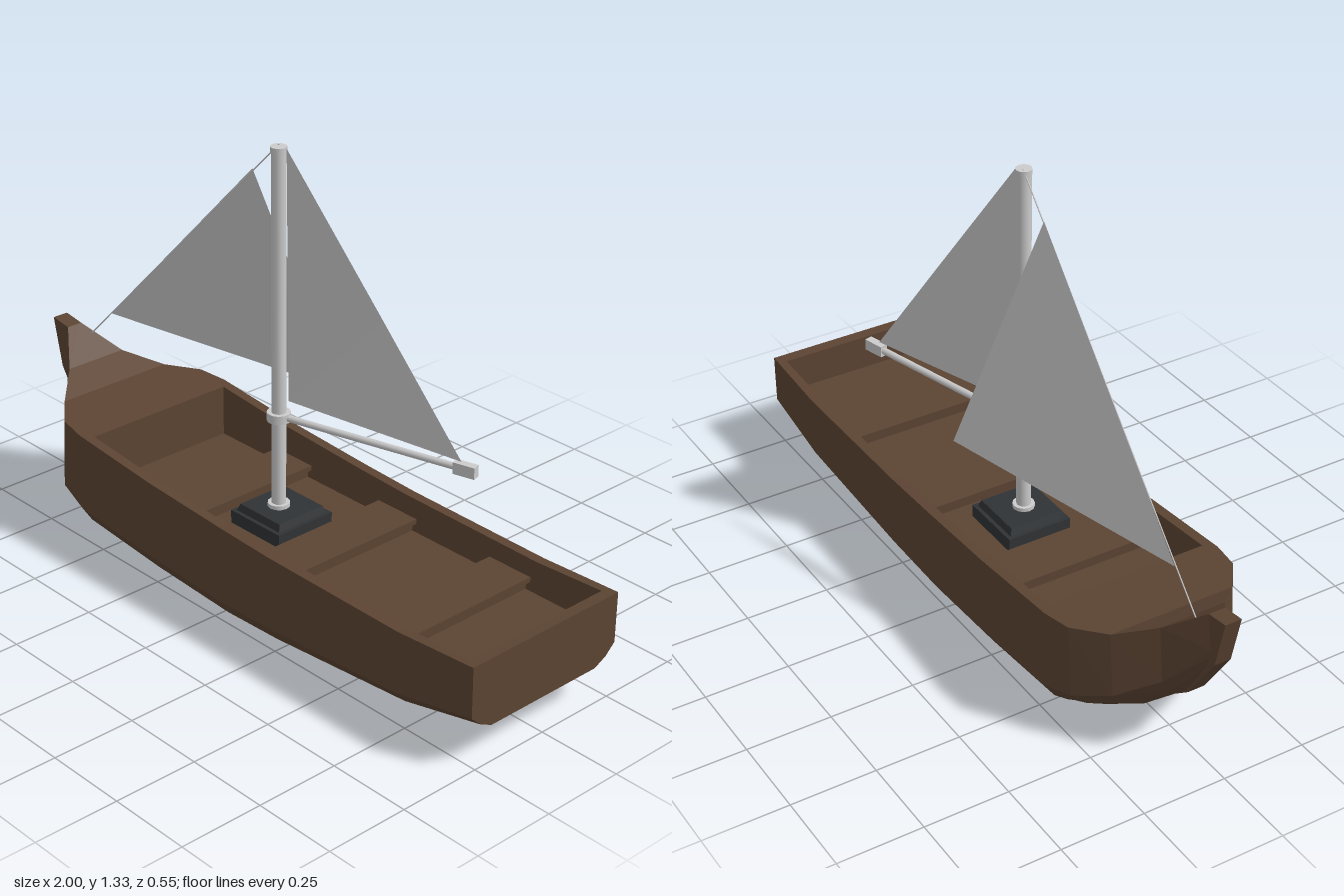
import * as THREE from 'three';

const wood = new THREE.MeshStandardMaterial({ color: 0x5c4433, flatShading: true });
const dark = new THREE.MeshStandardMaterial({ color: 0x303335, flatShading: true });
const grey = new THREE.MeshStandardMaterial({ color: 0xcccccc });
const cloth = new THREE.MeshStandardMaterial({ color: 0xcccccc, side: THREE.DoubleSide, flatShading: true });

const FLOOR = 0.2, INNER = 0.245, FRONT = -0.53, BACK = 0.965;

// Hull stations, bow to stern: sheer x, y, half width, then keel x, y, half width
const stations = [
  [-0.93, 0.50, 0.025, -0.95, 0.36, 0.015],
  [-0.83, 0.42, 0.10, -0.85, 0.20, 0.03],
  [-0.74, 0.375, 0.19, -0.76, 0.12, 0.09],
  [-0.65, 0.367, 0.26, -0.67, 0.08, 0.15],
  [-0.56, 0.36, 0.275, -0.56, 0.04, 0.20],
  [-0.25, 0.33, 0.275, -0.25, 0.015, 0.205],
  [0.05, 0.312, 0.275, 0.05, 0, 0.205],
  [0.25, 0.303, 0.275, 0.25, 0.008, 0.205],
  [0.74, 0.297, 0.275, 0.74, 0.05, 0.20],
  [1, 0.31, 0.27, 1, 0.11, 0.195],
];

// Surface through rows of points
function grid(rows) {
  const n = rows[0].length, index = [];
  for (let i = 0; i < rows.length - 1; i++) {
    for (let j = 0; j < n - 1; j++) {
      const a = i * n + j, d = a + n;
      index.push(a, a + 1, d + 1, a, d + 1, d);
    }
  }
  const g = new THREE.BufferGeometry();
  g.setAttribute('position', new THREE.Float32BufferAttribute(rows.flat(2), 3));
  g.setIndex(index);
  g.computeVertexNormals();
  return g;
}

// Half section of a station: sheer, two bilge corners, keel edge
function section([x, y, w, kx, ky, kw]) {
  const at = (t, s) => [x + (kx - x) * t, y + (ky - y) * t, w + (kw - w) * s];
  return [at(0, 0), at(0.75, 0.02), at(0.9, 0.45), at(1, 1)];
}

// Sheer height and half width at any x
function sheer(x) {
  const i = Math.max(1, stations.findIndex((s) => s[0] >= x));
  const a = stations[i - 1], b = stations[i], t = (x - a[0]) / (b[0] - a[0]);
  return [a[1] + (b[1] - a[1]) * t, a[2] + (b[2] - a[2]) * t];
}

const across = ([x, y, w]) => [[x, y, -w], [x, y, w]];

export function createModel() {
  const model = new THREE.Group();
  const add = (name, geometry, material, parent = model, x = 0, y = 0, z = 0) => {
    const mesh = new THREE.Mesh(geometry, material);
    mesh.name = name;
    mesh.position.set(x, y, z);
    parent.add(mesh);
    return mesh;
  };

  // Hull
  const hull = new THREE.Group();
  hull.name = 'hull';
  model.add(hull);
  add('planking', grid(stations.map((s) => {
    const half = section(s);
    return [...half, ...half.map(([x, y, z]) => [x, y, -z]).reverse()];
  })), wood, hull);

  const [frontY, frontW] = sheer(FRONT), [backY, backW] = sheer(BACK);
  const deckRows = stations.filter((s) => s[0] < FRONT).map(across);
  add('foredeck', grid([...deckRows, across([FRONT, frontY, frontW])]), wood, hull);

  // Gunwales, inner walls and floor in one cross-section
  const innerXs = [FRONT, ...stations.map((s) => s[0]).filter((x) => x > FRONT && x < BACK), BACK];
  add('interior', grid(innerXs.map((x) => {
    const [y, w] = sheer(x);
    return [[x, y, -w], [x, y, -INNER], [x, FLOOR, -INNER], [x, FLOOR, INNER], [x, y, INNER], [x, y, w]];
  })), wood, hull);
  add('bulkhead', grid([-INNER, INNER].map((z) => [[FRONT, FLOOR, z], [FRONT, frontY, z]])), wood, hull);
  add('transom', grid([
    across([BACK, FLOOR, INNER]),
    across([BACK, backY, backW]),
    ...section(stations.at(-1)).map(across),
  ]), wood, hull);

  // Stem post
  const stem = new THREE.Shape([
    [-1, 0.51], [-0.965, 0.36], [-0.86, 0.2], [-0.76, 0.12], [-0.72, 0.2],
    [-0.84, 0.3], [-0.9, 0.4], [-0.93, 0.5],
  ].map(([x, y]) => new THREE.Vector2(x, y)));
  const stemGeometry = new THREE.ExtrudeGeometry(stem, { depth: 0.05, bevelEnabled: false });
  add('stemPost', stemGeometry, wood, hull, 0, 0, -0.025);

  // Thwart seats
  for (const x of [-0.215, 0.215, 0.645]) {
    add('seatBoard', new THREE.BoxGeometry(0.15, 0.015, 2 * INNER), wood, hull, x, 0.2345, 0);
    add('seatSupport', new THREE.BoxGeometry(0.12, 0.03, 2 * INNER), wood, hull, x, 0.213, 0);
  }

  // Mast and its step
  add('mastStep', new THREE.BoxGeometry(0.2, 0.04, 0.2), dark, model, 0, 0.22, 0);
  const stepTop = new THREE.CylinderGeometry(0.115, 0.125, 0.02, 4).rotateY(Math.PI / 4);
  add('mastStepTop', stepTop, dark, model, 0, 0.25, 0);
  add('mast', new THREE.CylinderGeometry(0.021, 0.021, 1.07, 12), grey, model, -0.004, 0.79, 0.006);
  add('mastCap', new THREE.CylinderGeometry(0.023, 0.023, 0.016, 12), grey, model, -0.004, 1.32, 0.006);
  add('mastFoot', new THREE.CylinderGeometry(0.032, 0.032, 0.015, 12), grey, model, -0.004, 0.264, 0.006);

  // Boom, swung to one side
  const boom = new THREE.Group();
  boom.name = 'boom';
  boom.position.set(-0.004, 0.54, 0.006);
  boom.rotation.y = 0.265;
  model.add(boom);
  add('boomRing', new THREE.CylinderGeometry(0.034, 0.034, 0.026, 12), grey, boom);
  add('boomSpar', new THREE.CylinderGeometry(0.01, 0.01, 0.58, 8).rotateZ(Math.PI / 2), grey, boom, 0.3, 0, 0);
  add('boomEnd', new THREE.BoxGeometry(0.065, 0.034, 0.024), grey, boom, 0.585, 0, 0);

  // Sails
  const sail = (name, points) => {
    const g = new THREE.BufferGeometry().setFromPoints(points.map((p) => new THREE.Vector3(...p)));
    g.computeVertexNormals();
    add(name, g, cloth);
  };
  const tack = [0.025, 0.592, -0.004], head = [0.018, 1.325, -0.002];
  const clew = [0.55, 0.56, -0.142], leech = [0.31, 0.905, -0.08];
  sail('mainSail', [tack, clew, leech, tack, leech, head]);
  sail('foreSail', [[-0.8, 0.57, -0.04], [0.005, 0.552, -0.213], [-0.122, 1.23, -0.006]]);

  // Forestay
  const stay = new THREE.LineCurve3(new THREE.Vector3(-0.01, 1.33, 0), new THREE.Vector3(-0.9, 0.47, -0.04));
  add('forestay', new THREE.TubeGeometry(stay, 1, 0.002, 5), grey);

  return model;
}
